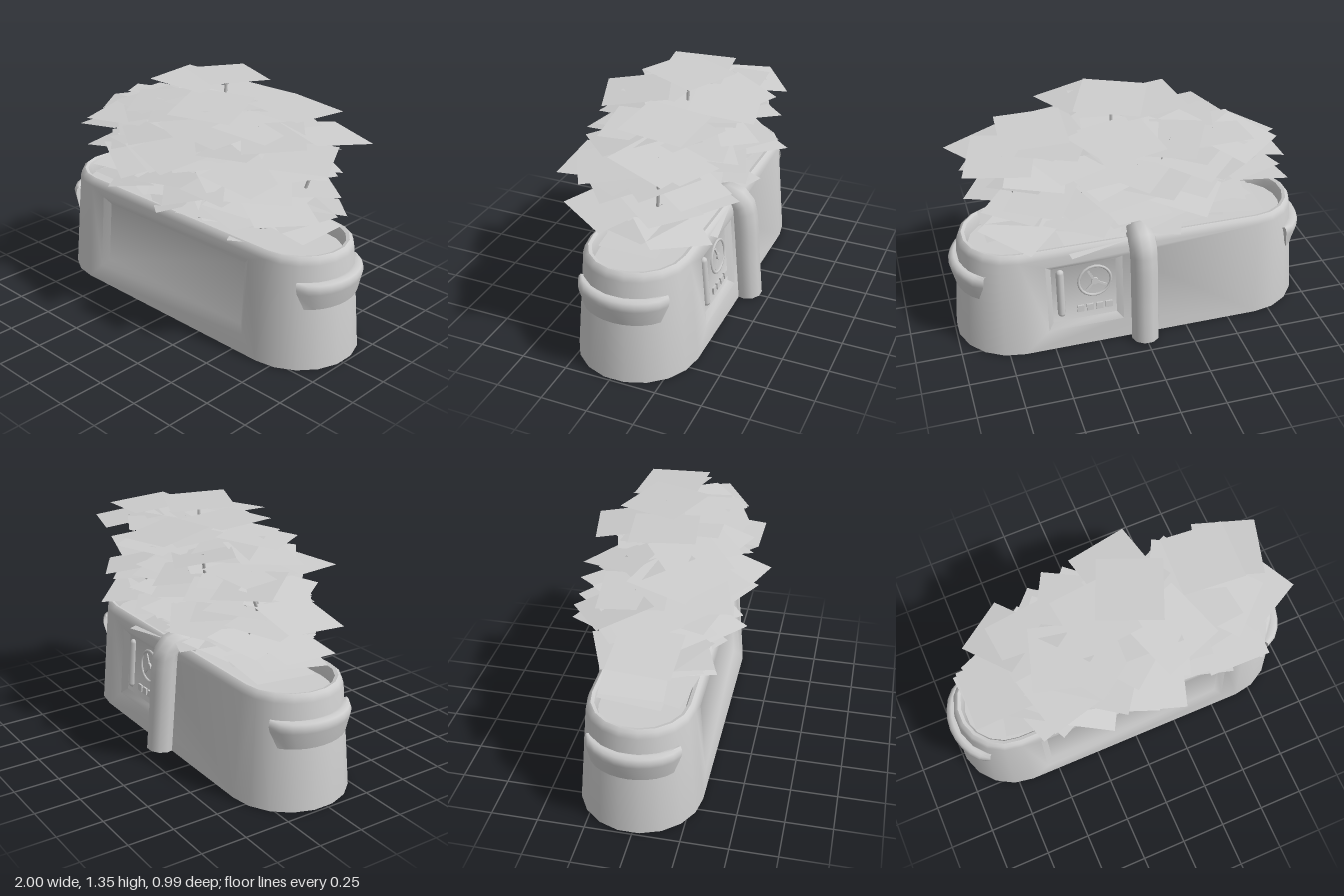
import * as THREE from 'three';
import { mergeGeometries, toCreasedNormals } from 'three/addons/utils/BufferGeometryUtils.js';

const HALF = 0.665, ZC = -0.02;             // straight half length, trough centre line
const R = y => 0.327 - 0.08 * y;            // tapering wall radius

// Skin rows of points; optionally close each row and cap the last one (four corners)
function loft(rows, closed = false, cap = false) {
  const n = rows[0].length, idx = [];
  for (let r = 0; r < rows.length - 1; r++)
    for (let i = 0; i < (closed ? n : n - 1); i++) {
      const a = r * n + i, b = r * n + (i + 1) % n;
      idx.push(a, b, b + n, a, b + n, a + n);
    }
  if (cap) {
    const o = (rows.length - 1) * n;
    for (let i = 1; i < n - 1; i++) idx.push(o, o + i, o + i + 1);
  }
  const g = new THREE.BufferGeometry();
  g.setAttribute('position', new THREE.Float32BufferAttribute(rows.flat(2), 3));
  g.setIndex(idx);
  return g;
}

// Half circle at one end of the trough, s = 1 for +x and -1 for -x
function endArc(s, r, y, n = 9) {
  return Array.from({ length: n + 1 }, (_, i) => {
    const a = -Math.PI / 2 + Math.PI * i / n;
    return [s * (HALF + r * Math.cos(a)), y, ZC - s * r * Math.sin(a)];
  });
}
const stadium = (r, y) => [...endArc(1, r, y), ...endArc(-1, r, y)];

// Point on the front (s = 1) or back (s = -1) wall, sunk by d
const wallPoint = (s, u, y, d = 0) => [s * u, y, ZC + s * (R(y) - d)];
const wallRect = (s, u0, u1, y0, y1, d) =>
  [[u0, y0], [u1, y0], [u1, y1], [u0, y1]].map(([u, y]) => wallPoint(s, u, y, d));

// Flat wall with a bevelled recess
function panelWall(s, u0, u1, y0, y1, bevel) {
  return loft([
    wallRect(s, -HALF, HALF, 0, 0.57, 0),
    wallRect(s, u0, u1, y0, y1, 0),
    wallRect(s, u0 + bevel, u1 - bevel, y0 + bevel, y1 - bevel, 0.028),
  ], true, true);
}

function bodyGeometry() {
  const rim = [[R(0.57), 0.57], [0.272, 0.6], [0.255, 0.612], [0.237, 0.607], [0.227, 0.585], [0.222, 0.53]];
  const parts = [
    panelWall(1, -0.56, 0.56, 0.105, 0.53, 0.038),
    panelWall(-1, -0.53, -0.11, 0.12, 0.52, 0.032),
    loft(rim.map(([r, y]) => stadium(r, y)), true),
  ];
  for (const s of [1, -1]) parts.push(loft([0, 0.57].map(y => endArc(s, R(y), y))));
  return toCreasedNormals(mergeGeometries(parts), 0.85);
}

// Grip that follows the rounded end, thinner towards its tips
function handleGeometry() {
  const profile = [[-0.03, 0.34], [0.015, 0.34], [0.036, 0.43], [0.04, 0.455], [0.03, 0.478], [0.01, 0.488], [-0.03, 0.475]];
  const rows = [];
  for (let i = 0; i <= 10; i++) {
    const t = i / 5 - 1, k = 1 - 0.5 * t ** 6;
    rows.push(profile.map(([d, y]) => {
      const a = -t * THREE.MathUtils.degToRad(45 + 8 * Math.min(1, (y - 0.34) / 0.1));
      const r = 0.295 + (d > 0 ? d * k : d);
      return [HALF + r * Math.cos(a), y, -r * Math.sin(a)];
    }));
  }
  return toCreasedNormals(loft(rows, true, true), 0.9);
}

// Height of the foliage along x
const OUTLINE = [[-0.9, 1.0], [-0.6, 1.09], [-0.4, 1.13], [-0.1, 1.24], [0.1, 1.3], [0.3, 1.25], [0.55, 1.21], [0.9, 1.13]];
function foliageTop(x) {
  for (let i = 1; i < OUTLINE.length; i++) {
    const [x0, y0] = OUTLINE[i - 1], [x1, y1] = OUTLINE[i];
    if (x <= x1) return y0 + (y1 - y0) * (x - x0) / (x1 - x0);
  }
  return 1.1;
}

export function createModel() {
  const model = new THREE.Group();
  const grey = new THREE.MeshStandardMaterial({ color: 0xcccccc, side: THREE.DoubleSide });
  grey.name = 'plain grey';
  const add = (name, geometry) => {
    const mesh = new THREE.Mesh(geometry, grey);
    mesh.name = name;
    model.add(mesh);
    return mesh;
  };

  // Trough and soil
  add('trough', bodyGeometry());
  const bed = new THREE.Shape(stadium(0.224, 0).map(p => new THREE.Vector2(p[0], -p[2])));
  add('soil', new THREE.ShapeGeometry(bed).rotateX(-Math.PI / 2).translate(0, 0.54, 0));

  // End grips
  for (const turn of [0, Math.PI])
    add(turn ? 'rightHandle' : 'leftHandle', handleGeometry().rotateY(turn).translate(0, 0, ZC));

  // Filling pipe bent over the back rim
  const pipePath = new THREE.CatmullRomCurve3([[0.004, -0.382], [0.25, -0.361], [0.5, -0.34], [0.575, -0.32], [0.607, -0.265], [0.57, -0.19]]
    .map(([y, z]) => new THREE.Vector3(0, y, z)));
  add('pipe', new THREE.TubeGeometry(pipePath, 18, 0.076, 10));

  // Controls in the back recess, each lying on the sloped floor
  const onPanel = (name, geometry, u, y) => {
    const mesh = add(name, geometry);
    mesh.position.set(...wallPoint(-1, u, y, 0.027));
    mesh.rotation.set(-0.08, Math.PI, 0, 'YXZ');
    return mesh;
  };
  onPanel('levelTube', new THREE.CapsuleGeometry(0.022, 0.25, 3, 8), -0.45, 0.33);
  onPanel('gaugeRing', new THREE.TorusGeometry(0.09, 0.008, 6, 20), -0.26, 0.375);
  onPanel('gaugeHub', new THREE.CylinderGeometry(0.02, 0.02, 0.02, 10).rotateX(Math.PI / 2), -0.26, 0.375);
  for (const a of [0.5, 2.4, 4.2])
    onPanel('gaugeNeedle', new THREE.BoxGeometry(0.012, 0.065, 0.012).translate(0, 0.04, 0).rotateZ(a), -0.26, 0.375);
  for (let i = 0; i < 4; i++)
    onPanel('button', new THREE.BoxGeometry(0.038, 0.038, 0.02), -0.345 + i * 0.053, 0.215);

  // Foliage: square leaf cards in layers, drooping slightly outwards
  let seed = 11;
  const rand = () => (seed = (seed * 16807) % 2147483647) / 2147483647;
  const jitter = a => (rand() * 2 - 1) * a;
  const leaves = [], spots = [];
  const leaf = (x, y, z, spin, size, tilt) => {
    const m = new THREE.Matrix4().makeRotationFromEuler(new THREE.Euler(
      z * 0.55 + jitter(tilt), 0, -x * 0.1 + jitter(tilt)));
    leaves.push(new THREE.PlaneGeometry(size, size).rotateX(-Math.PI / 2).rotateY(spin)
      .applyMatrix4(m).translate(x, y, z));
    spots.push(new THREE.Vector3(x, y, z));
  };
  // Half depth of each layer, from the lowest upwards
  [0.17, 0.25, 0.28, 0.28, 0.27, 0.25, 0.2].forEach((depth, layer) => {
    const count = 16;
    for (let i = 0; i < count; i++) {
      const r = Math.sqrt((i + 0.7) / count), a = i * 2.4 + layer * 1.1;
      const x = 0.73 * r * Math.cos(a) + jitter(0.03), z = -0.01 + depth * r * Math.sin(a) + jitter(0.03);
      const y = 0.66 + layer * 0.09 + jitter(0.045);
      if (y < foliageTop(x) - 0.02) leaf(x, y, z, rand() * Math.PI, 0.3 + rand() * 0.04, 0.14);
    }
  });
  // Uppermost leaves: x, y, z, spin
  for (const [x, y, z, spin] of [
    [0.1, 1.34, -0.06, -0.4], [0.53, 1.245, -0.11, -0.06], [0.22, 1.25, 0.18, 0.35], [-0.1, 1.28, -0.02, 0.12],
    [-0.44, 1.1, -0.1, 0.1], [-0.18, 1.18, 0.13, 0.6], [0.07, 1.0, 0.3, -0.3], [0.53, 0.98, 0.24, 0],
    [0.7, 1.14, -0.15, -0.3], [-0.38, 1.08, 0.2, 0.25], [0.1, 1.2, -0.26, 0.2], [0.72, 1.08, 0.08, 0.5]])
    leaf(x, y, z, spin, 0.34, 0.05);
  add('leaves', mergeGeometries(leaves));

  // Three plants: a root ball each, with bent stems rising to some of the leaves
  const roots = [-0.42, 0.05, 0.46].map((x, i) => new THREE.Vector3(x, 0.35, 0.06 - i * 0.03));
  const stems = [];
  spots.forEach((tip, i) => {
    if (i % 4) return;
    const root = roots.reduce((a, b) => Math.abs(b.x - tip.x) < Math.abs(a.x - tip.x) ? b : a);
    const bend = new THREE.Vector3().lerpVectors(root, tip, 0.6);
    bend.x += jitter(0.06);
    bend.z += jitter(0.04);
    stems.push(new THREE.TubeGeometry(new THREE.QuadraticBezierCurve3(root, bend, tip), 5, 0.009, 5));
  });
  for (const p of roots) stems.push(new THREE.CylinderGeometry(0.09, 0.06, 0.34, 7, 1, true).translate(p.x, 0.37, p.z));
  add('stems', mergeGeometries(stems));

  return model;
}
